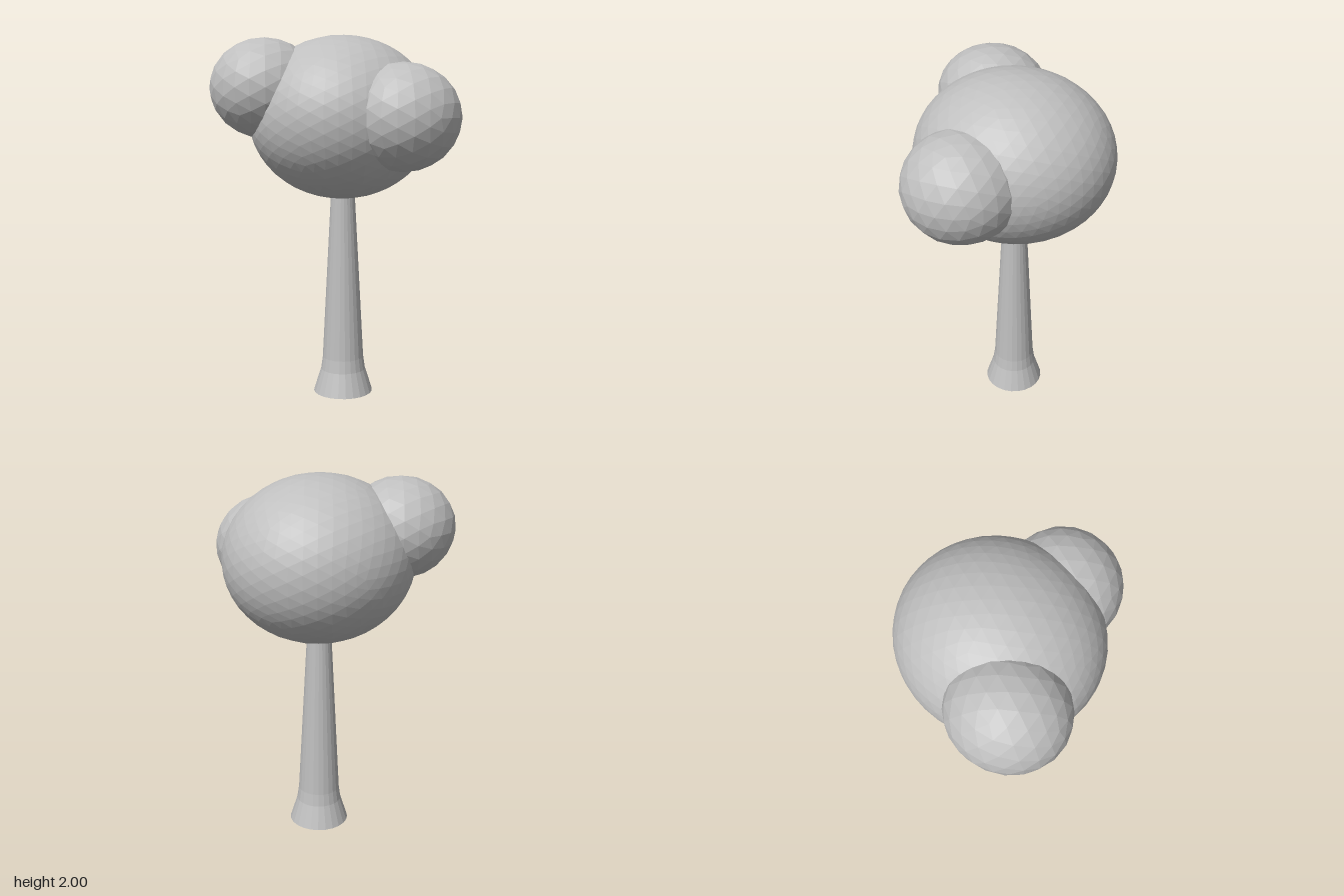
import * as THREE from 'three';

export function createModel() {
  const tree = new THREE.Group();
  tree.name = 'tree';
  const grey = new THREE.MeshStandardMaterial({ color: 0xbfbfbf });
  grey.name = 'grey';
  grey.flatShading = true;
  grey.side = THREE.DoubleSide; // the trunk is an open tube

  // Trunk: tapering tube with a flared foot, open at both ends
  const profile = [[0.167, 0], [0.126, 0.13], [0.116, 0.2], [0.068, 1.11], [0.066, 1.18]]
    .map(([r, y]) => new THREE.Vector2(r, y));
  const trunk = new THREE.Mesh(new THREE.LatheGeometry(profile, 24), grey);
  trunk.name = 'trunk';
  trunk.position.set(-0.04, 0, -0.017);
  tree.add(trunk);

  // Foliage: faceted, slightly squashed balls
  const addFoliage = (name, detail, centre, radii) => {
    const geometry = new THREE.IcosahedronGeometry(1, detail);
    geometry.scale(...radii);
    const ball = new THREE.Mesh(geometry, grey);
    ball.name = name;
    ball.position.set(...centre);
    tree.add(ball);
  };
  addFoliage('mainCrown', 7, [-0.04, 1.555, -0.015], [0.505, 0.445, 0.535]);
  addFoliage('rightFoliage', 3, [-0.38, 1.713, 0.24], [0.29, 0.268, 0.308]);
  addFoliage('leftFoliage', 3, [0.36, 1.562, 0.108], [0.305, 0.284, 0.305]);

  return tree;
}
